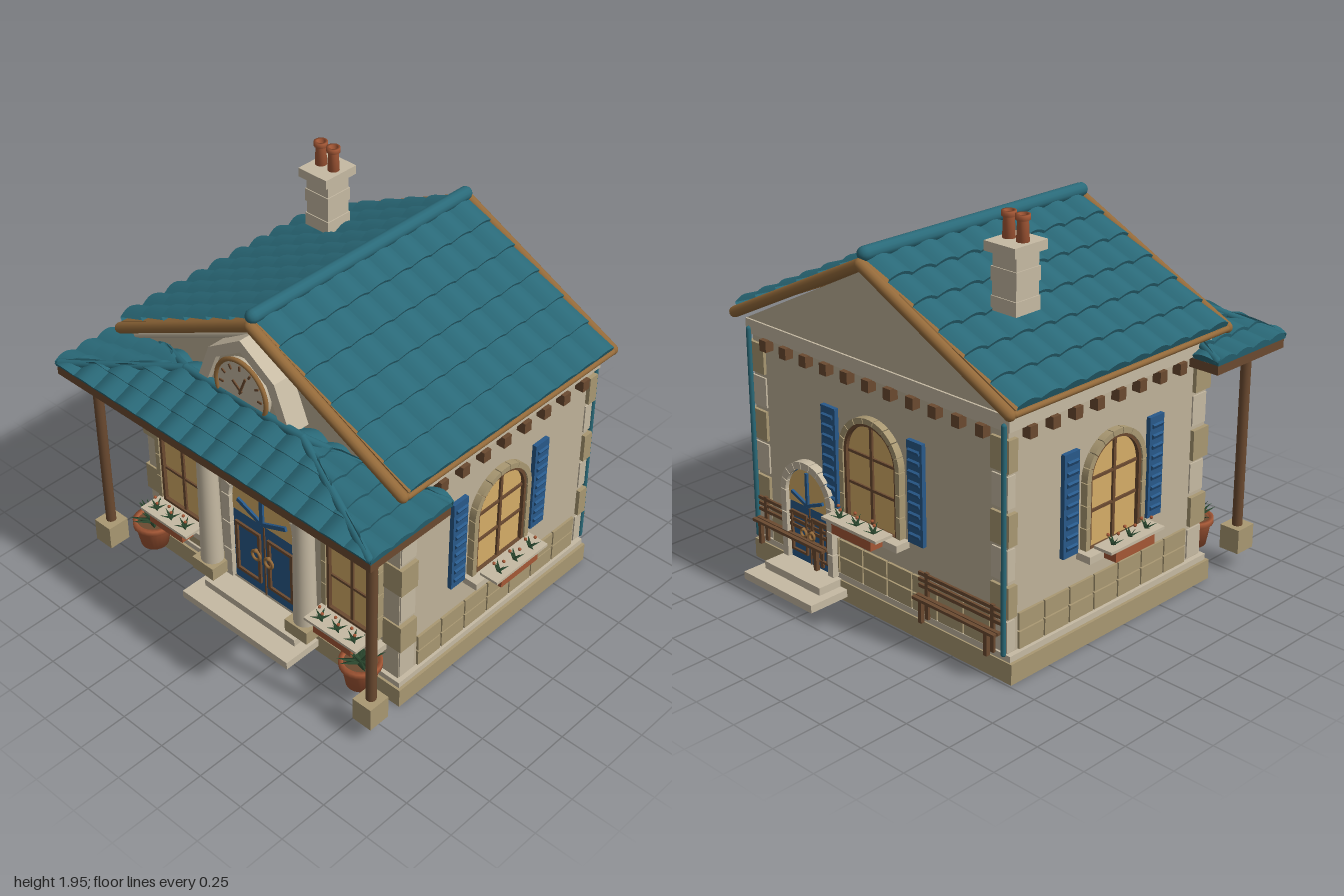
import * as THREE from 'three';

const mat = (name, color, side = THREE.FrontSide) => {
  const m = new THREE.MeshStandardMaterial({ color, side });
  m.name = name;
  return m;
};
const M = {
  wall: mat('plaster', 0xbfb299), light: mat('lightStone', 0xc6baa3), tan: mat('tanStone', 0xa99872),
  brown: mat('darkWood', 0x6b4a30), trim: mat('honeyWood', 0x946a3a),
  teal: mat('roofTile', 0x2a6a79, THREE.DoubleSide), blue: mat('bluePaint', 0x28598a),
  glass: mat('warmGlass', 0xd6ad67), clay: mat('terracotta', 0xa55836), green: mat('leaf', 0x2c4a30),
};

function add(parent, name, geo, m, x = 0, y = 0, z = 0) {
  const mesh = new THREE.Mesh(geo, m);
  mesh.name = name;
  mesh.position.set(x, y, z);
  parent.add(mesh);
  return mesh;
}
const box = (p, name, m, w, h, d, x, y, z) => add(p, name, new THREE.BoxGeometry(w, h, d), m, x, y, z);
const group = (p, name, x = 0, y = 0, z = 0, ry = 0) => {
  const g = new THREE.Group();
  g.name = name;
  g.position.set(x, y, z);
  g.rotation.y = ry;
  p.add(g);
  return g;
};
// round bar between two points
function bar(p, name, m, a, b, r) {
  const A = new THREE.Vector3(...a), B = new THREE.Vector3(...b), d = B.clone().sub(A);
  const mesh = add(p, name, new THREE.CapsuleGeometry(r, d.length(), 4, 12), m);
  mesh.position.copy(A).add(B).multiplyScalar(0.5);
  mesh.quaternion.setFromUnitVectors(new THREE.Vector3(0, 1, 0), d.normalize());
}
const extrude = (shape, depth) => new THREE.ExtrudeGeometry(shape, { depth, bevelEnabled: false, curveSegments: 16 });
const polygon = pts => new THREE.Shape(pts.map(p => new THREE.Vector2(...p)));
function arch(hw, y0, spring) {
  const s = new THREE.Shape();
  s.moveTo(-hw, y0).lineTo(hw, y0).lineTo(hw, spring).absarc(0, spring, hw, 0, Math.PI, false);
  return s;
}
// ring of wedge stones over an arched opening, with stacked jamb stones
function stoneArch(p, m, r0, r1, y0, spring, depth, n) {
  for (let i = 0; i < n; i++) {
    const a = (i + 0.03) * Math.PI / n, b = (i + 0.97) * Math.PI / n, s = new THREE.Shape();
    s.absarc(0, spring, r1, a, b, false).absarc(0, spring, r0, b, a, true);
    add(p, 'archStone', extrude(s, depth), m);
  }
  const h = (spring - y0) / 3;
  for (const sx of [-1, 1]) for (let i = 0; i < 3; i++)
    box(p, 'jambStone', m, r1 - r0, h * 0.96, depth, sx * (r0 + r1) / 2, y0 + h * (i + 0.5), depth / 2);
}
// barrel tiled slope: eave on z = 0, rising toward -z, optionally cut by hips
function tiledSlope(width, run, rise, cols, rows, bump, hip = 0) {
  const pos = [], idx = [], len = Math.hypot(run, rise), ny = run / len, nz = rise / len, S = 6;
  const put = (u, v, h) => pos.push(u, v * rise + h * ny, -v * run + h * nz);
  const strip = (pairs) => {
    const o = pos.length / 3;
    for (const [lo, hi] of pairs) { put(...lo); put(...hi); }
    for (let i = 0; i < pairs.length - 1; i++) {
      const k = o + i * 2;
      idx.push(k, k + 2, k + 3, k, k + 3, k + 1);
    }
  };
  for (let r = 0; r < rows; r++) for (let c = 0; c < cols; c++) {
    const tile = [], lip = [];
    for (let i = 0; i <= S; i++) {
      const u = width * ((c + i / S) / cols - 0.5), arc = bump * Math.sin(Math.PI * i / S);
      const top = hip ? Math.min(1, (width / 2 - Math.abs(u)) / hip) : 1;
      const v0 = Math.min(r / rows, top), v1 = Math.min((r + 1) / rows, top);
      tile.push([[u, v0, arc + 0.016], [u, v1, arc]]);
      lip.push([[u, v0, -0.008], [u, v0, arc + 0.016]]);
    }
    if (tile.every(([a, b]) => b[1] - a[1] < 1e-6)) continue;
    strip(tile);
    strip(lip);
  }
  const g = new THREE.BufferGeometry();
  g.setAttribute('position', new THREE.Float32BufferAttribute(pos, 3));
  g.setIndex(idx);
  g.computeVertexNormals();
  return g;
}
function leaves(p, n, len, x, y, z) {
  const geo = new THREE.ConeGeometry(len * 0.2, len, 4).scale(1, 1, 0.35).translate(0, len / 2, 0);
  for (let i = 0; i < n; i++) {
    const leaf = add(p, 'leaf', geo, M.green, x, y, z);
    leaf.rotation.set(i % 2 ? 1.15 : 0.6, i * 2.4, 0, 'YXZ');
  }
}
function flowerBox(p, y, w) {
  const g = group(p, 'flowerBox', 0, y, 0);
  box(g, 'sill', M.light, w * 1.22, 0.035, 0.08, 0, -0.045, 0.04);
  box(g, 'sillBracket', M.brown, w * 0.65, 0.02, 0.04, 0, -0.072, 0.03);
  box(g, 'trough', M.clay, w * 0.72, 0.06, 0.07, 0, -0.03, 0.115);
  box(g, 'troughRim', M.light, w, 0.014, 0.1, 0, 0.005, 0.115);
  for (const x of [-0.31, 0, 0.31]) {
    leaves(g, 6, 0.055, x * w, 0.01, 0.115);
    for (const d of [-0.02, 0.02])
      add(g, 'flower', new THREE.IcosahedronGeometry(0.008, 1), M.clay, x * w + d, 0.06, 0.115 + d * 0.6);
  }
}
function archWindow(p, hw, y0, spring, shutters) {
  add(p, 'windowPane', extrude(arch(hw, y0, spring), 0.009), M.glass);
  const frame = arch(hw + 0.015, y0 - 0.015, spring);
  frame.holes.push(arch(hw, y0, spring));
  add(p, 'windowFrame', extrude(frame, 0.028), M.brown);
  const top = spring + hw;
  box(p, 'mullion', M.brown, 0.016, top - y0, 0.02, 0, (top + y0) / 2, 0.01);
  for (const t of [0.36, 0.68]) box(p, 'glazingBar', M.brown, hw * 1.96, 0.013, 0.018, 0, y0 + t * (top - y0), 0.009);
  stoneArch(p, M.tan, hw + 0.015, hw + 0.042, y0, spring, 0.036, 9);
  if (shutters) for (const s of [-1, 1]) {
    box(p, 'shutter', M.blue, 0.095, 0.49, 0.022, s * 0.28, 0.71, 0.011);
    for (let i = 0; i < 9; i++)
      box(p, 'shutterSlat', M.blue, 0.066, 0.02, 0.012, s * 0.28, 0.51 + i * 0.05, 0.025).rotation.x = 0.5;
  }
}
function archDoor(p) {
  add(p, 'doorPanel', extrude(arch(0.222, 0, 0.505), 0.02), M.blue);
  add(p, 'fanlight', extrude(arch(0.198, 0.43, 0.505), 0.008), M.glass, 0, 0, 0.02);
  for (const a of [0, 1.18, -1.18]) {
    const L = a ? 0.17 : 0.24, b = box(p, 'fanlightBar', M.blue, 0.022, L, 0.016, -Math.sin(a) * L / 2, 0.445 + Math.cos(a) * L / 2, 0.032);
    b.rotation.z = a;
  }
  for (const s of [-1, 1]) {
    const panel = polygon([[-0.082, 0.06], [0.082, 0.06], [0.082, 0.36], [-0.082, 0.36]]);
    panel.holes.push(polygon([[-0.066, 0.076], [0.066, 0.076], [0.066, 0.344], [-0.066, 0.344]]));
    add(p, 'doorMoulding', extrude(panel, 0.012), M.brown, s * 0.106, 0, 0.02);
    add(p, 'doorRing', new THREE.TorusGeometry(0.026, 0.007, 8, 18), M.trim, s * 0.042, 0.235, 0.04);
    add(p, 'ringBoss', new THREE.SphereGeometry(0.011, 10, 8), M.trim, s * 0.042, 0.262, 0.04);
  }
  box(p, 'doorSeam', M.brown, 0.008, 0.42, 0.008, 0, 0.21, 0.022);
  stoneArch(p, M.light, 0.205, 0.257, 0, 0.505, 0.045, 9);
}
function bench(p, x) {
  const g = group(p, 'bench', x, 0, -0.72);
  for (const z of [-0.035, -0.06]) box(g, 'seatSlat', M.brown, 0.5, 0.014, 0.02, 0, 0.235, z);
  for (const y of [0.28, 0.31, 0.34]) box(g, 'backSlat', M.brown, 0.5, 0.016, 0.012, 0, y, -0.022);
  for (const s of [-0.2, 0.2]) {
    box(g, 'benchLeg', M.brown, 0.02, 0.11, 0.02, s, 0.18, -0.06);
    box(g, 'benchUpright', M.brown, 0.02, 0.23, 0.014, s, 0.24, -0.022);
  }
}

export function createModel() {
  const root = new THREE.Group();
  root.name = 'house';
  const ZC = -0.07;

  // plinth, walls and steps
  box(root, 'plinth', M.tan, 1.71, 0.1, 1.35, 0, 0.05, -0.0625);
  box(root, 'plinthCap', M.light, 1.68, 0.03, 1.33, 0, 0.115, -0.065);
  box(root, 'walls', M.wall, 1.63, 1.08, 1.3, 0, 0.67, ZC);
  box(root, 'frontLowerStep', M.light, 0.7, 0.04, 0.24, 0, 0.057, 0.7);
  box(root, 'frontUpperStep', M.light, 0.6, 0.04, 0.14, 0, 0.095, 0.65);
  box(root, 'backLowerStep', M.light, 0.48, 0.038, 0.24, 0.43, 0.047, -0.835);
  box(root, 'backUpperStep', M.light, 0.39, 0.038, 0.15, 0.43, 0.085, -0.79);

  // corner stones and drain pipes
  for (const s of [-1, 1]) {
    for (let i = 0; i < 6; i++) {
      const wide = i % 2, m = wide ? M.tan : M.light, w = wide ? 0.107 : 0.094, y = 0.213 + i * 0.168;
      box(root, 'frontCornerStone', m, w, 0.148, w, s * (0.728 + w / 2), y, 0.482 + w / 2);
      box(root, 'backCornerStone', m, w, 0.148, w / 2, s * (0.728 + w / 2), y, -0.682 - w / 4);
    }
    bar(root, 'drainPipe', M.teal, [s * 0.815, 0.14, -0.745], [s * 0.815, 1.19, -0.745], 0.012);
  }
  // low stone courses
  const course = (n, place) => {
    for (let i = 0; i < n; i++) for (const y of [0.175, 0.265]) place((i - (n - 1) / 2) * 0.161, y);
  };
  for (const s of [-1, 1]) {
    course(7, (t, y) => box(root, 'sideCourseStone', M.tan, 0.02, 0.082, 0.152, s * 0.818, y, t - 0.1));
    course(2, (t, y) => box(root, 'frontCourseStone', M.tan, 0.152, 0.082, 0.02, s * 0.55 + t, y, 0.583));
  }
  course(9, (t, y) => box(root, 'backCourseStone', M.tan, 0.152, 0.082, 0.02, t, y, -0.723));

  // cornice and brackets
  box(root, 'cornice', M.light, 1.68, 0.07, 1.34, 0, 1.2, ZC);
  for (let i = 0; i < 9; i++)
    for (const s of [-1, 1]) box(root, 'eaveBracket', M.brown, 0.05, 0.055, 0.046, s * 0.835, 1.14, 0.355 - (i - 1) * 0.1385);
  for (let i = -5; i <= 5; i++) box(root, 'backBracket', M.brown, 0.046, 0.055, 0.05, i * 0.1385, 1.14, -0.74);

  // openings
  const sides = [['leftWindow', 0.815, ZC, Math.PI / 2], ['rightWindow', -0.815, ZC, -Math.PI / 2], ['backWindow', 0, -0.72, Math.PI]];
  for (const [name, x, z, ry] of sides) {
    const g = group(root, name, x, 0, z, ry);
    archWindow(g, 0.155, 0.46, 0.783, true);
    flowerBox(g, 0.485, 0.36);
  }
  for (const s of [-1, 1]) {
    const g = group(root, 'frontWindow', s * 0.55, 0, 0.58);
    archWindow(g, 0.132, 0.33, 0.728, false);
    flowerBox(g, 0.33, 0.32);
  }
  archDoor(group(root, 'frontDoor', 0, 0.13, 0.58));
  const backDoor = group(root, 'backDoor', 0.43, 0.11, -0.72, Math.PI);
  backDoor.scale.set(0.69, 0.69, 1);
  archDoor(backDoor);
  bench(root, 0.55);
  bench(root, -0.55);

  // gables and main roof
  add(root, 'gable', extrude(polygon([[-0.85, 1.23], [0.85, 1.23], [0, 1.665]]), 1.32), M.wall, 0, 0, -0.73);
  add(root, 'roofDeck', extrude(polygon([[-0.89, 1.25], [0, 1.68], [0.89, 1.25], [0.89, 1.28], [0, 1.71], [-0.89, 1.28]]), 1.365), M.trim, 0, 0, -0.75);
  for (const s of [-1, 1]) {
    const slope = add(root, 'roofTiles', tiledSlope(1.365, 0.89, 0.43, 10, 6, 0.024), M.teal, s * 0.89, 1.285, -0.0675);
    slope.rotation.y = s * Math.PI / 2;
    for (const z of [0.638, -0.773]) bar(root, 'bargeBoard', M.trim, [0, 1.695, z], [s * 0.872, 1.265, z], 0.027);
    bar(root, 'eaveRail', M.trim, [s * 0.885, 1.265, 0.62], [s * 0.885, 1.265, -0.755], 0.015);
    bar(root, 'gableMoulding', M.light, [0, 1.635, 0.6], [s * 0.8, 1.245, 0.6], 0.018);
  }
  bar(root, 'roofRidge', M.teal, [0, 1.735, 0.62], [0, 1.735, -0.745], 0.034);

  // clock
  const surround = polygon([[-0.29, 1.3], [0.29, 1.3], [0.2, 1.52], [0, 1.65], [-0.2, 1.52]]);
  surround.holes.push(polygon([[-0.23, 1.31], [0.23, 1.31], [0.155, 1.49], [0, 1.59], [-0.155, 1.49]]));
  add(root, 'clockSurround', extrude(surround, 0.11), M.light, 0, 0, 0.59);
  add(root, 'clockBacking', extrude(polygon([[-0.24, 1.3], [0.24, 1.3], [0.16, 1.5], [0, 1.6], [-0.16, 1.5]]), 0.08), M.wall, 0, 0, 0.59);
  const clock = group(root, 'clock', 0, 1.39, 0.68);
  add(clock, 'clockFace', new THREE.CylinderGeometry(0.15, 0.15, 0.05, 40).rotateX(Math.PI / 2), M.light);
  add(clock, 'clockRim', new THREE.TorusGeometry(0.152, 0.011, 8, 40), M.trim, 0, 0, 0.024);
  const clockMark = (name, a, r0, r1, w) => {
    const r = (r0 + r1) / 2;
    box(clock, name, M.brown, w, r1 - r0, 0.006, Math.sin(a) * r, Math.cos(a) * r, 0.028).rotation.z = -a;
  };
  for (let i = 0; i < 12; i++) clockMark('hourMark', i * Math.PI / 6, 0.105, 0.13, 0.009);
  clockMark('minuteHand', 0.4, -0.02, 0.085, 0.01);
  clockMark('hourHand', -0.9, -0.01, 0.06, 0.012);

  // chimney
  const chimney = group(root, 'chimney', -0.52, 0, -0.37);
  for (let i = 0; i < 4; i++) box(chimney, 'chimneyBlock', M.light, i % 2 ? 0.138 : 0.148, 0.065, i % 2 ? 0.138 : 0.148, 0, 1.552 + i * 0.065, 0);
  box(chimney, 'chimneyCap', M.light, 0.178, 0.045, 0.2, 0, 1.805, 0);
  for (const x of [-0.04, 0.04]) {
    const profile = [[0, 0], [0.029, 0], [0.025, 0.09], [0.033, 0.095], [0.033, 0.118], [0.02, 0.118], [0.02, 0.08], [0, 0.08]];
    add(chimney, 'chimneyPot', new THREE.LatheGeometry(profile.map(p => new THREE.Vector2(...p)), 20), M.clay, x, 1.828, 0);
    add(chimney, 'chimneyHole', new THREE.CylinderGeometry(0.02, 0.02, 0.004, 16), M.brown, x, 1.912, 0);
  }

  // hipped porch roof
  const porch = group(root, 'porchRoof', 0, 1.165, 0.695);
  box(porch, 'porchFascia', M.brown, 1.95, 0.045, 0.49, 0, -0.03, 0);
  for (const s of [1, -1]) {
    const ry = s > 0 ? 0 : Math.PI;
    add(porch, 'porchLongTiles', tiledSlope(1.96, 0.25, 0.155, 14, 3, 0.022, 0.62), M.teal, 0, 0, s * 0.25).rotation.y = ry;
    add(porch, 'porchEndTiles', tiledSlope(0.5, 0.62, 0.155, 4, 5, 0.02, 0.25), M.teal, s * 0.98, 0, 0).rotation.y = s * Math.PI / 2;
    for (const z of [-1, 1]) bar(porch, 'porchHip', M.teal, [s * 0.36, 0.16, 0], [s * 0.96, 0.012, z * 0.238], 0.02);
  }
  bar(porch, 'porchRidge', M.teal, [-0.36, 0.16, 0], [0.36, 0.16, 0], 0.022);

  // porch posts, columns and potted plants
  for (const s of [-1, 1]) {
    add(root, 'porchPost', new THREE.CylinderGeometry(0.025, 0.025, 0.85, 16), M.brown, s * 0.865, 0.635, 0.81);
    box(root, 'postBlock', M.tan, 0.108, 0.122, 0.115, s * 0.863, 0.157, 0.812);
    add(root, 'column', new THREE.CylinderGeometry(0.046, 0.056, 0.8, 24), M.light, s * 0.31, 0.605, 0.655);
    box(root, 'columnCapital', M.tan, 0.14, 0.06, 0.13, s * 0.31, 1.03, 0.655);
    box(root, 'columnBase', M.tan, 0.14, 0.07, 0.13, s * 0.31, 0.178, 0.655);
    const pot = group(root, 'pottedPlant', s * 0.69, 0.105, 0.69);
    const profile = [[0, 0], [0.068, 0], [0.088, 0.11], [0.1, 0.112], [0.1, 0.14], [0.08, 0.14], [0.078, 0.12], [0, 0.12]];
    add(pot, 'pot', new THREE.LatheGeometry(profile.map(p => new THREE.Vector2(...p)), 24), M.clay);
    add(pot, 'soil', new THREE.CylinderGeometry(0.079, 0.079, 0.01, 20), M.brown, 0, 0.122, 0);
    leaves(pot, 16, 0.125, 0, 0.125, 0);
  }
  return root;
}
